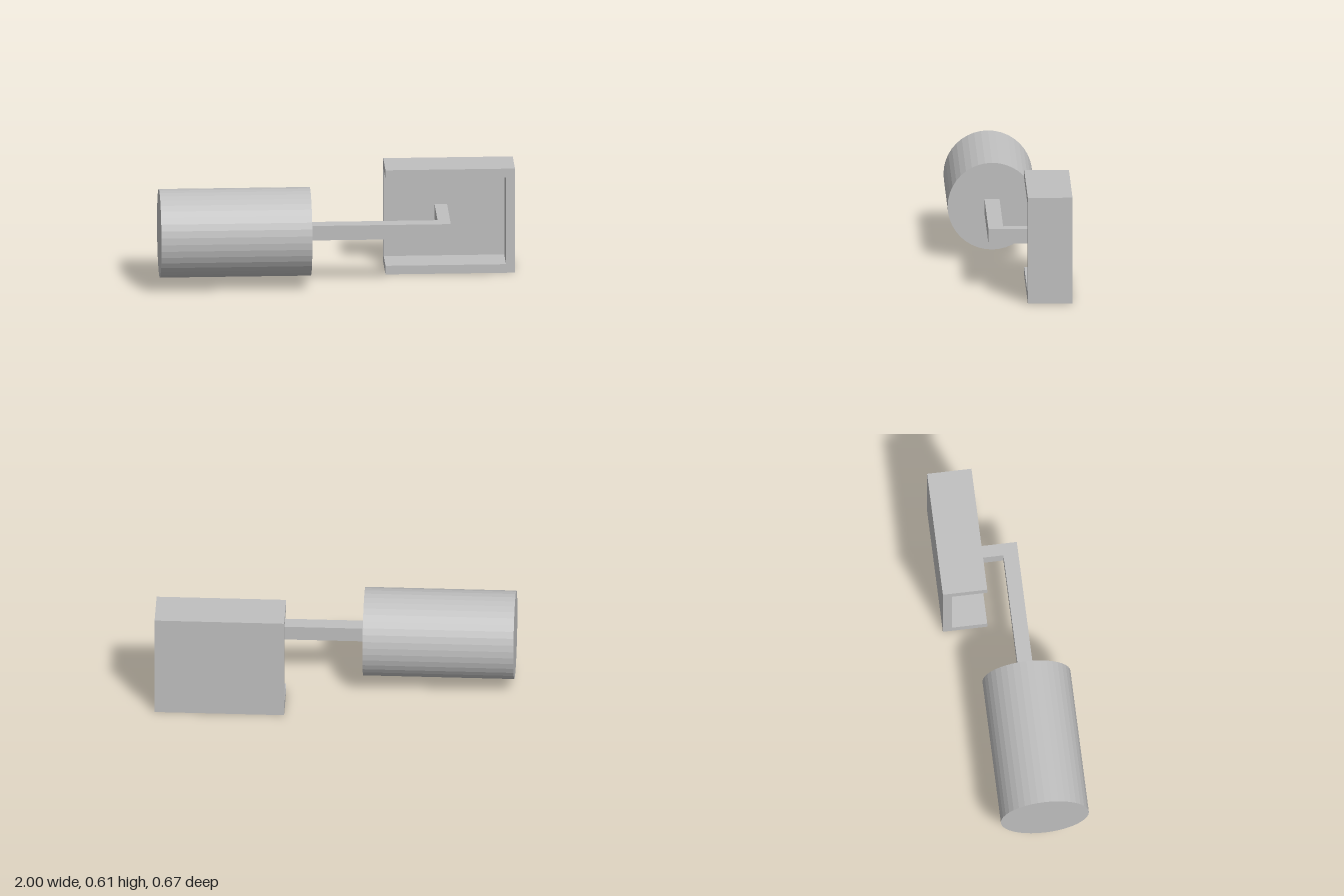
import * as THREE from 'three';

export function createModel() {
  const group = new THREE.Group();
  const grey = new THREE.MeshStandardMaterial({ color: 0xc0c0c0, flatShading: true });
  grey.name = 'plain grey';

  const add = (name, geometry) => {
    const mesh = new THREE.Mesh(geometry, grey);
    mesh.name = name;
    group.add(mesh);
  };

  // Horizontal roller lying along x
  const roller = new THREE.CylinderGeometry(0.248, 0.248, 0.845, 40);
  roller.rotateZ(Math.PI / 2).translate(-0.5775, 0.305, 0.085);
  add('roller', roller);

  // L-shaped arm, drawn in plan (shape y is -z) and extruded upwards
  const plan = new THREE.Shape([
    [-0.155, -0.127], [0.63, -0.127], [0.63, 0.283],
    [0.56, 0.283], [0.56, -0.043], [-0.155, -0.043],
  ].map(([x, y]) => new THREE.Vector2(x, y)));
  const arm = new THREE.ExtrudeGeometry(plan, { depth: 0.084, bevelEnabled: false });
  arm.rotateX(-Math.PI / 2).translate(0, 0.263, 0);
  add('arm', arm);

  // Bracket rim: top, bottom and outer side walls, open towards the roller
  const profile = new THREE.Shape([
    [0.275, 0], [1, 0], [1, 0.605], [0.275, 0.605],
    [0.275, 0.555], [0.95, 0.555], [0.95, 0.05], [0.275, 0.05],
  ].map(([x, y]) => new THREE.Vector2(x, y)));
  const rim = new THREE.ExtrudeGeometry(profile, { depth: 0.25, bevelEnabled: false });
  rim.translate(0, 0, -0.333);
  add('bracketRim', rim);

  // Back plate closing the rim
  const plate = new THREE.BoxGeometry(0.675, 0.505, 0.05);
  plate.translate(0.6125, 0.3025, -0.308);
  add('bracketBackPlate', plate);

  return group;
}
